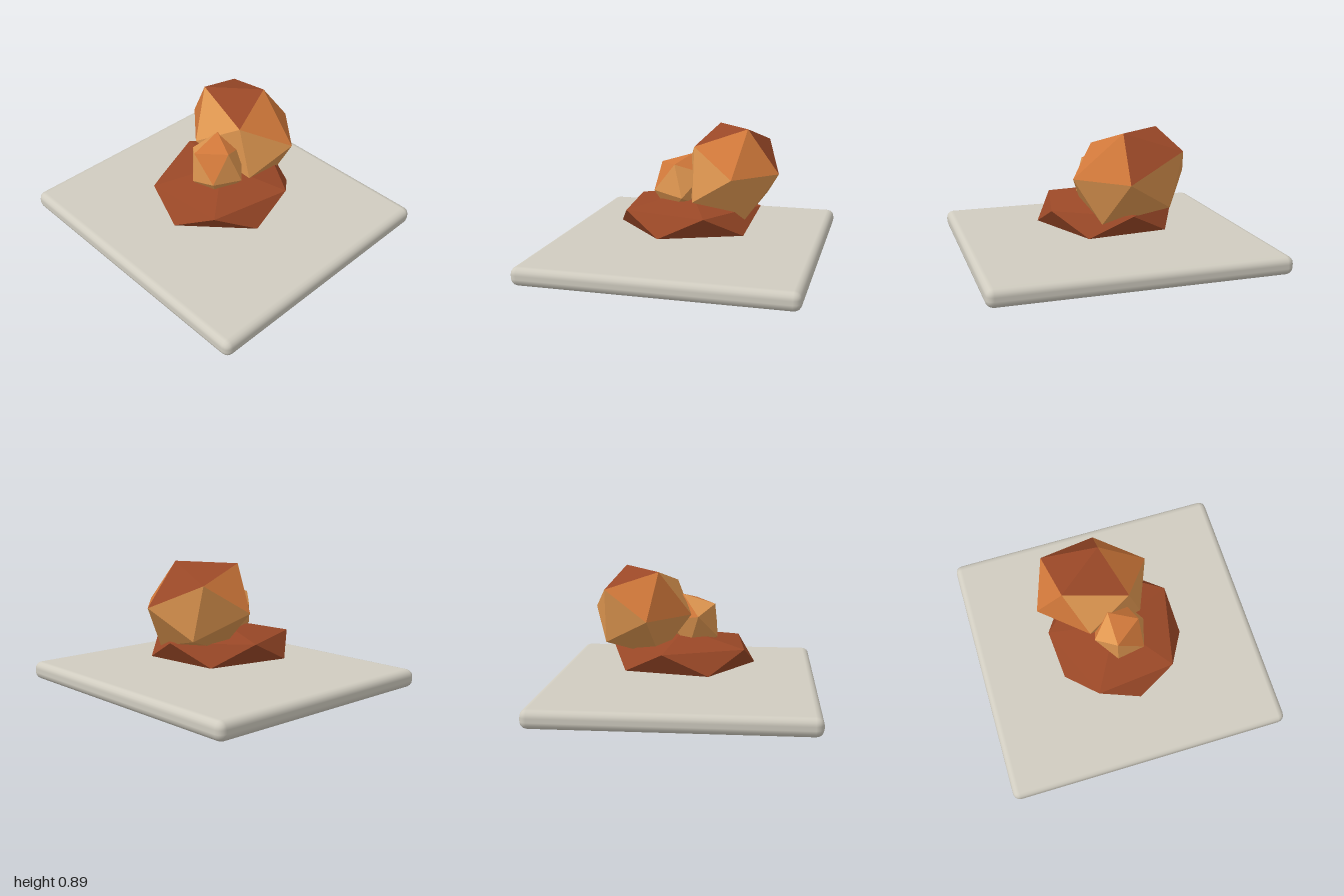
import * as THREE from 'three';
import { RoundedBoxGeometry } from 'three/addons/geometries/RoundedBoxGeometry.js';

const material = (name, color) => {
  const m = new THREE.MeshStandardMaterial({ color });
  m.name = name;
  return m;
};

// Twenty-sided stone: a pole and the five corners round it, mirrored through the centre.
// The code gives the colour of each face: upper cap, upper band, lower band, lower cap.
function stone(name, centre, corners, code, palette) {
  const [pole, ...ring] = corners.map((c) => new THREE.Vector3(...c));
  const flip = (v) => v.clone().negate();
  const caps = [], bands = [];
  for (let i = 0; i < 5; i++) {
    const a = ring[i], b = ring[(i + 1) % 5];
    caps.push([pole, a, b]);
    bands.push([a, b, flip(ring[(i + 3) % 5])]);
  }
  const faces = [...caps, ...bands, ...bands.map((f) => f.map(flip)), ...caps.map((f) => f.map(flip))];

  const points = [];
  const geometry = new THREE.BufferGeometry();
  const keys = Object.keys(palette);
  faces.forEach(([a, b, c], i) => {
    // Turn every face outward
    const outward = b.clone().sub(a).cross(c.clone().sub(a)).dot(a) > 0;
    points.push(...(outward ? [a, b, c] : [a, c, b]));
    geometry.addGroup(i * 3, 3, keys.indexOf(code[i]));
  });
  geometry.setFromPoints(points);
  geometry.computeVertexNormals();
  const mesh = new THREE.Mesh(geometry, Object.values(palette));
  mesh.name = name;
  mesh.position.set(...centre);
  return mesh;
}

export function createModel() {
  const group = new THREE.Group();
  const slabGrey = material('warm grey', 0xd0ccc0);
  const palette = {
    r: material('rust', 0x9a4827),
    o: material('orange', 0xd0783a),
    t: material('tan', 0xde9650),
  };

  // Ground slab with softened edges
  const slab = new THREE.Mesh(new RoundedBoxGeometry(2, 0.125, 1.83, 2, 0.05), slabGrey);
  slab.name = 'slab';
  slab.position.y = 0.0625;
  group.add(slab);

  // Flattened base stone balanced on its lower point
  const baseCorners = [[0, 0.16, 0]];
  for (let i = 0; i < 5; i++) {
    const t = THREE.MathUtils.degToRad(48.5 + i * 72);
    baseCorners.push([0.47 * Math.cos(t), 0.072, 0.492 * Math.sin(t)]);
  }
  group.add(stone('baseStone', [0, 0.288, 0], baseCorners, 'r'.repeat(20), palette));

  // Large stone at the back
  group.add(stone('largeStone', [-0.087, 0.593, -0.277], [
    [0.087, 0.302, -0.123],
    [-0.233, 0.292, 0.137],
    [0.202, 0.187, 0.222],
    [0.412, 0.012, -0.078],
    [0.107, 0.007, -0.343],
    [-0.293, 0.18, -0.213],
  ], 'roorr' + 'tttto' + 'ttott' + 'ttttt', palette));

  // Small stone in front
  group.add(stone('smallStone', [0.015, 0.5, 0.06], [
    [-0.065, 0.205, -0.065],
    [-0.058, 0.137, 0.157],
    [0.128, 0.155, 0.017],
    [0.06, 0.09, -0.175],
    [-0.13, 0.03, -0.16],
    [-0.19, 0.065, 0.05],
  ], 'oooot' + 'otttt' + 'ttttt' + 'ttttt', palette));

  return group;
}
